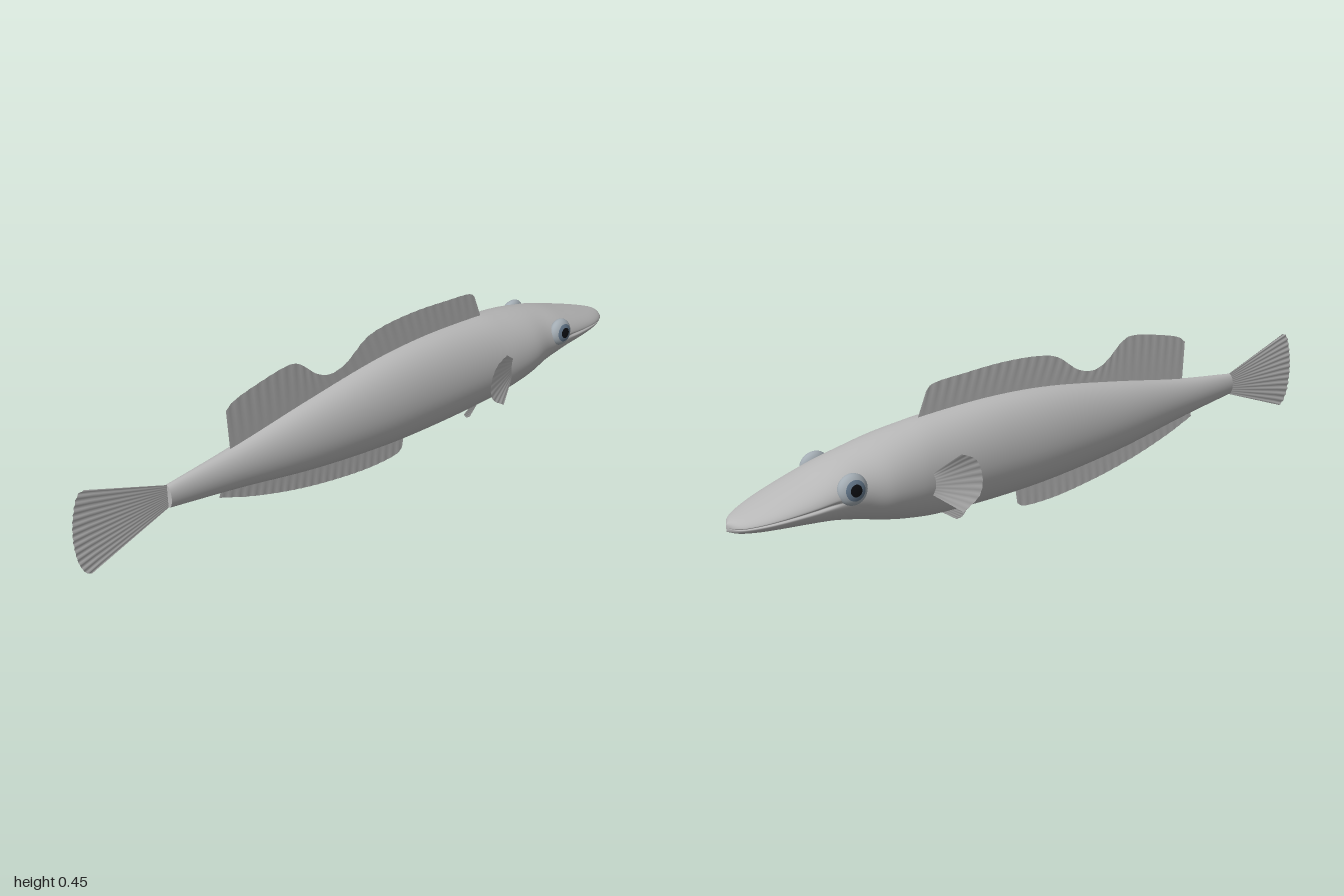
import * as THREE from 'three';

const skin = new THREE.MeshStandardMaterial({ color: 0xb8b8b8, side: THREE.DoubleSide });
skin.name = 'grey skin';
const eyeRim = new THREE.MeshStandardMaterial({ color: 0xa3acb3 });
eyeRim.name = 'pale eye rim';
const iris = new THREE.MeshStandardMaterial({ color: 0x64788c });
iris.name = 'blue grey iris';
const pupil = new THREE.MeshStandardMaterial({ color: 0x0c0e12 });
pupil.name = 'black pupil';

// Body stations: x, top y, bottom y, half width, y of the widest line
const STATIONS = [
  [-0.72, 0.243, 0.176, 0.018, 0.21], [-0.5, 0.27, 0.143, 0.04, 0.208],
  [-0.25, 0.313, 0.1, 0.07, 0.205], [0, 0.35, 0.073, 0.092, 0.205],
  [0.2, 0.361, 0.065, 0.102, 0.205], [0.4, 0.354, 0.07, 0.111, 0.205],
  [0.5, 0.343, 0.084, 0.119, 0.205], [0.58, 0.33, 0.102, 0.12, 0.21],
  [0.65, 0.315, 0.122, 0.111, 0.217], [0.72, 0.296, 0.14, 0.11, 0.22],
  [0.8, 0.269, 0.152, 0.105, 0.212], [0.88, 0.242, 0.16, 0.09, 0.203],
  [0.94, 0.222, 0.165, 0.068, 0.195], [0.98, 0.208, 0.17, 0.04, 0.189],
  [1, 0.196, 0.176, 0.0, 0.186],
];

function makeMesh(name, geometry, material) {
  const mesh = new THREE.Mesh(geometry, material);
  mesh.name = name;
  return mesh;
}

function gridGeometry(points, indices) {
  const g = new THREE.BufferGeometry();
  g.setAttribute('position', new THREE.Float32BufferAttribute(points, 3));
  g.setIndex(indices);
  g.computeVertexNormals();
  return g;
}

// Lofted body with a groove along the widest line of the snout for the mouth
function bodyGeometry() {
  const spline = (pick) =>
    new THREE.CatmullRomCurve3(STATIONS.map(pick), false, 'catmullrom', 0.5);
  const heights = spline((s) => new THREE.Vector3(s[0], s[1], s[2]));
  const widths = spline((s) => new THREE.Vector3(s[0], s[3], s[4]));
  const rings = 112, sides = 72, points = [], indices = [];
  for (let i = 0; i <= rings; i++) {
    const { x, y: top, z: bottom } = heights.getPoint(i / rings);
    const { y: width, z: mid } = widths.getPoint(i / rings);
    const mouth = THREE.MathUtils.smoothstep(x, 0.7, 0.78);
    for (let j = 0; j < sides; j++) {
      const u = (j / sides) * Math.PI * 2;
      const a = u - 0.38 * Math.sin(2 * u);
      const s = Math.sin(a);
      const groove = 1 - mouth * (0.09 * Math.exp(-((s / 0.07) ** 2)) + (s < -0.01 ? 0.04 : 0));
      const y = mid + s * (s > 0 ? top - mid : mid - bottom);
      points.push(x, y, Math.max(width, 0) * Math.cos(a) * groove);
    }
  }
  for (let i = 0; i < rings; i++) {
    for (let j = 0; j < sides; j++) {
      const k = (j + 1) % sides;
      const a = i * sides + j, b = a + sides, c = (i + 1) * sides + k, d = i * sides + k;
      indices.push(a, b, c, a, c, d);
    }
  }
  // Flat cap at the tail root
  const start = points.length / 3;
  for (let j = 0; j < sides; j++) points.push(...points.slice(j * 3, j * 3 + 3));
  points.push(STATIONS[0][0], 0.21, 0);
  for (let j = 0; j < sides; j++) {
    indices.push(start + sides, start + j, start + ((j + 1) % sides));
  }
  return gridGeometry(points, indices);
}

// Thin fin sheet ruled between a base line and a free edge, with fine rays
function finGeometry(base, edge, rays, ripple) {
  const curve = (pts) => new THREE.CatmullRomCurve3(
    pts.map(([x, y, z = 0]) => new THREE.Vector3(x, y, z)), false, 'centripetal');
  const from = curve(base), to = curve(edge);
  const columns = rays * 4, rows = 6, points = [], indices = [];
  for (let i = 0; i <= columns; i++) {
    const a = from.getPointAt(i / columns), b = to.getPointAt(i / columns);
    const wave = Math.sin((i * Math.PI) / 2) * ripple;
    for (let j = 0; j <= rows; j++) {
      const p = a.clone().lerp(b, j / rows);
      points.push(p.x, p.y, p.z + wave * (j / rows));
      if (i < columns && j < rows) {
        const k = i * (rows + 1) + j, n = k + rows + 1;
        indices.push(k, n, n + 1, k, n + 1, k + 1);
      }
    }
  }
  return gridGeometry(points, indices);
}

// Flattened eyeball made of concentric bands facing +z
function makeEye(side) {
  const eye = new THREE.Group();
  eye.name = side > 0 ? 'rightEye' : 'leftEye';
  const bands = [
    ['pupil', 0, 0.4, pupil], ['iris', 0.4, 0.72, iris], ['eyeball', 0.72, Math.PI, eyeRim],
  ];
  for (const [name, t0, t1, material] of bands) {
    const g = new THREE.SphereGeometry(1, 36, 12, 0, Math.PI * 2, t0, t1 - t0);
    g.rotateX(Math.PI / 2);
    g.scale(0.042, 0.042, 0.024);
    eye.add(makeMesh(name, g, material));
  }
  eye.position.set(0.7, 0.246, side * 0.101);
  eye.rotation.set(-0.14, side > 0 ? 0 : Math.PI, 0, 'YXZ');
  return eye;
}

export function createModel() {
  const fish = new THREE.Group();
  fish.name = 'fish';
  fish.add(makeMesh('body', bodyGeometry(), skin));

  // Fins on the centre line
  fish.add(makeMesh('dorsalFin', finGeometry(
    [[-0.515, 0.25], [-0.25, 0.3], [0, 0.335], [0.2, 0.345], [0.445, 0.335]],
    [[-0.522, 0.385], [-0.5, 0.402], [-0.42, 0.425], [-0.3, 0.443], [-0.27, 0.432],
      [-0.21, 0.382], [-0.165, 0.365], [-0.11, 0.376], [-0.03, 0.43], [0.03, 0.445],
      [0.15, 0.452], [0.28, 0.446], [0.395, 0.434], [0.41, 0.42]], 30, 0.0008), skin));
  fish.add(makeMesh('analFin', finGeometry(
    [[-0.55, 0.17], [-0.3, 0.125], [-0.1, 0.095], [0.125, 0.085]],
    [[-0.56, 0.135], [-0.45, 0.092], [-0.3, 0.048], [-0.15, 0.018], [0, 0.001],
      [0.1, 0.006], [0.115, 0.018]], 24, 0.0008), skin));
  fish.add(makeMesh('tailFin', finGeometry(
    [[-0.715, 0.242], [-0.715, 0.21], [-0.715, 0.177]],
    [[-0.955, 0.331], [-0.972, 0.325], [-0.99, 0.28], [-1, 0.21], [-0.993, 0.135],
      [-0.975, 0.095], [-0.96, 0.086]], 14, 0.002), skin));

  // Paired fins and eyes
  for (const side of [1, -1]) {
    const word = side > 0 ? 'right' : 'left';
    const mirror = (pts) => pts.map(([x, y, z]) => [x, y, z * side]);
    fish.add(makeMesh(word + 'PectoralFin', finGeometry(
      mirror([[0.48, 0.228, 0.108], [0.484, 0.205, 0.11], [0.48, 0.182, 0.108]]),
      mirror([[0.4, 0.284, 0.148], [0.355, 0.258, 0.149], [0.335, 0.2, 0.148],
        [0.345, 0.155, 0.149], [0.397, 0.117, 0.148]]), 10, 0.001 * side), skin));
    fish.add(makeMesh(word + 'PelvicFin', finGeometry(
      mirror([[0.405, 0.085, 0.04], [0.385, 0.088, 0.043], [0.365, 0.088, 0.046]]),
      mirror([[0.355, 0.05, 0.049], [0.338, 0.056, 0.051], [0.325, 0.072, 0.053]]),
      5, 0.0008 * side), skin));
    fish.add(makeEye(side));
  }
  return fish;
}
